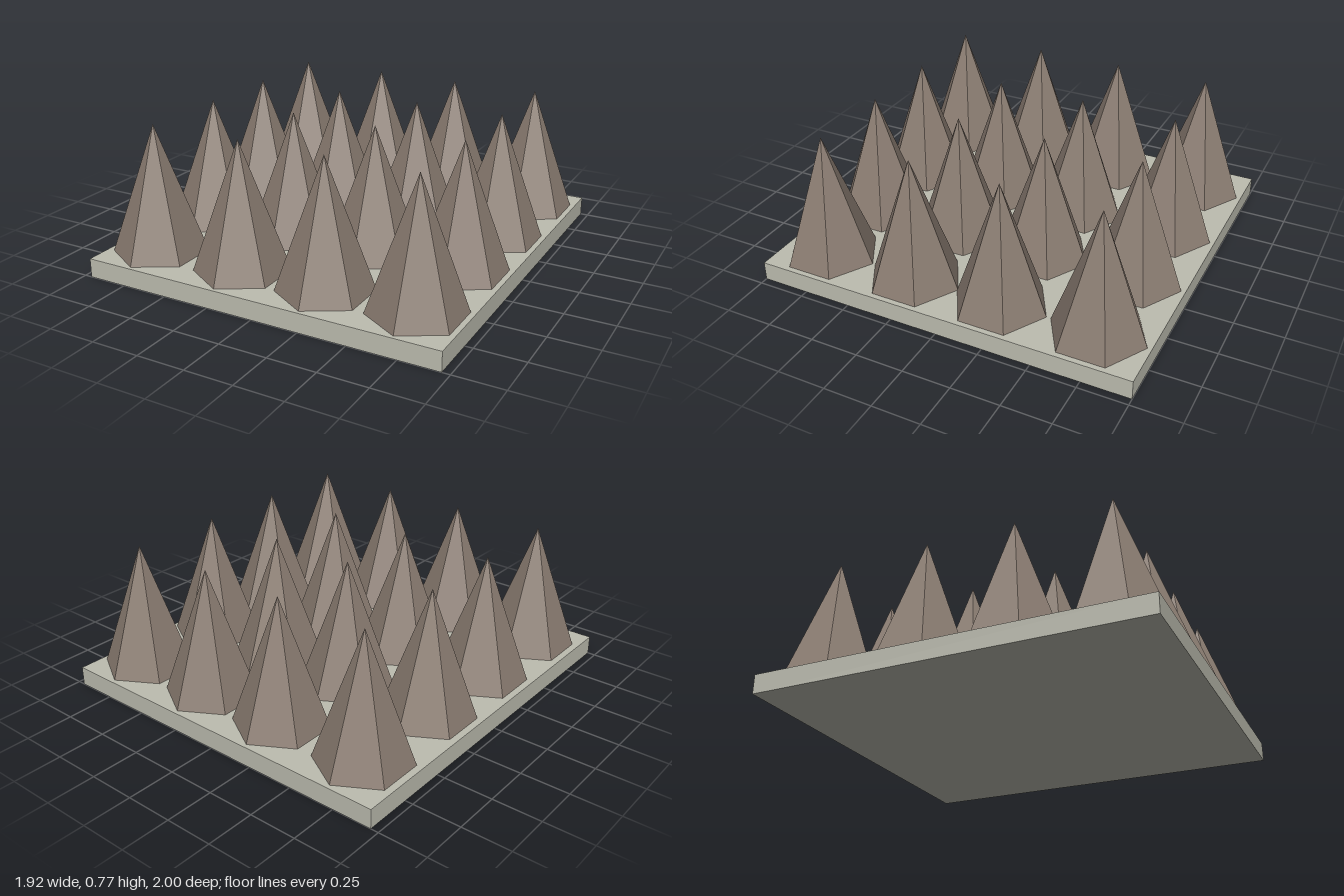
import * as THREE from 'three';

export function createModel() {
  const model = new THREE.Group();
  model.name = 'spikeBoard';

  const stone = new THREE.MeshStandardMaterial({ color: 0xbdbdb0, flatShading: true });
  const wood = new THREE.MeshStandardMaterial({ color: 0x8b7d72, flatShading: true });

  // Flat slab
  const thickness = 0.1;
  const base = new THREE.Mesh(new THREE.BoxGeometry(1.92, thickness, 2), stone);
  base.name = 'base';
  base.position.y = thickness / 2;
  model.add(base);

  // Six-sided spikes in slightly uneven rows, corners pointing along z
  const height = 0.67;
  const spikeGeometry = new THREE.ConeGeometry(0.241, height, 6);
  const columns = [-0.715, -0.216, 0.25, 0.723];
  const rows = [-0.737, -0.233, 0.244, 0.741];
  const spikes = new THREE.Group();
  spikes.name = 'spikes';
  for (const z of rows) {
    for (const x of columns) {
      const spike = new THREE.Mesh(spikeGeometry, wood);
      spike.name = 'spike';
      spike.position.set(x, thickness + height / 2, z);
      spikes.add(spike);
    }
  }
  model.add(spikes);

  return model;
}
